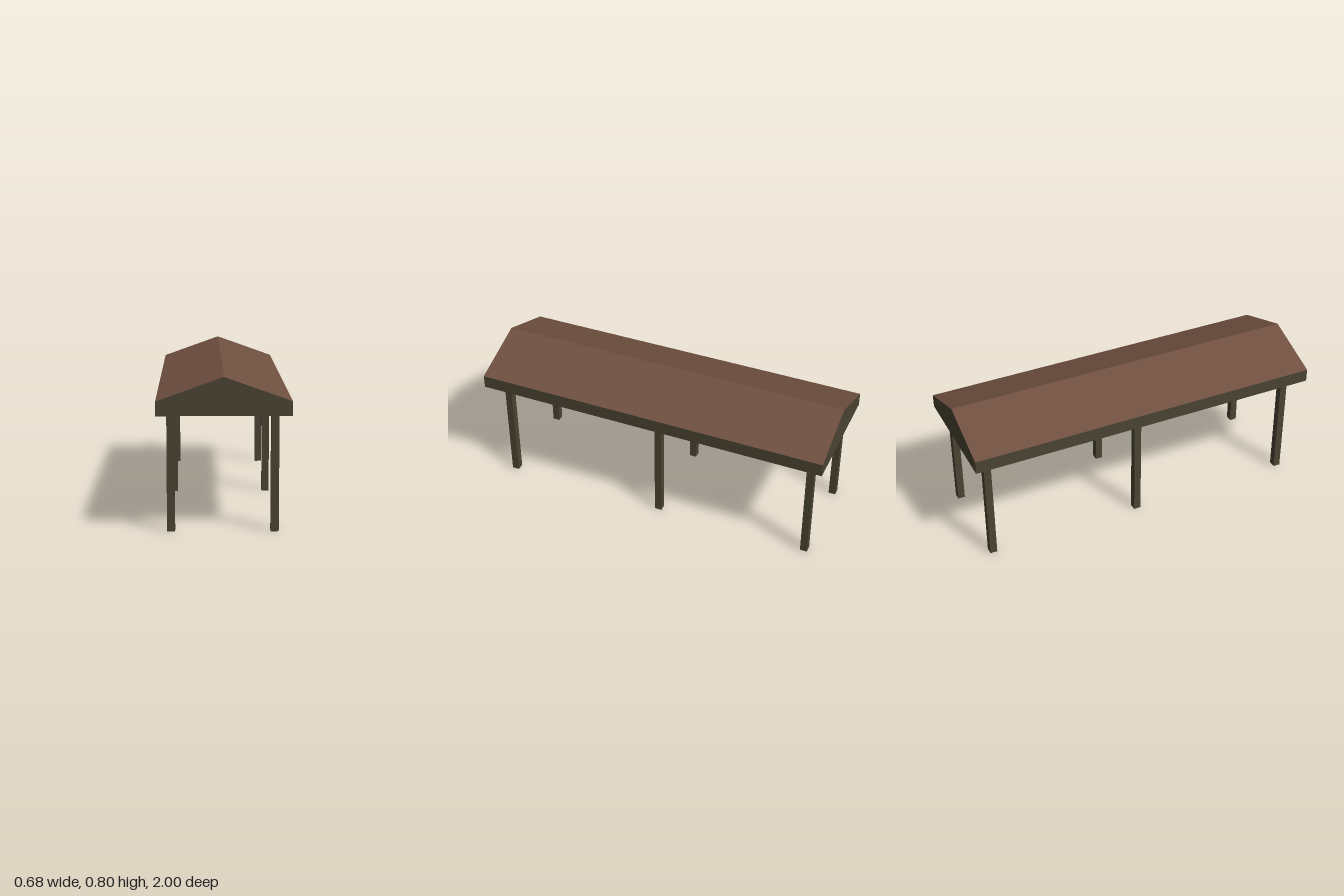
import * as THREE from 'three';

export function createModel() {
  const model = new THREE.Group();
  const timber = new THREE.MeshStandardMaterial({ color: 0x4a4433 });
  timber.name = 'dark timber';
  const roofing = new THREE.MeshStandardMaterial({ color: 0x6f5040 });
  roofing.name = 'brown roofing';

  const half = 0.338, eaveBottom = 0.608, eaveTop = 0.68, ridge = 0.801, length = 2;

  const add = (name, geometry, material, x, y, z) => {
    const mesh = new THREE.Mesh(geometry, material);
    mesh.name = name;
    mesh.position.set(x, y, z);
    model.add(mesh);
    return mesh;
  };

  // Solid roof body: gable ends, fascias and flat ceiling
  const gable = new THREE.Shape([
    new THREE.Vector2(-half, eaveBottom),
    new THREE.Vector2(half, eaveBottom),
    new THREE.Vector2(half, eaveTop),
    new THREE.Vector2(0, ridge),
    new THREE.Vector2(-half, eaveTop),
  ]);
  add('roofBody', new THREE.ExtrudeGeometry(gable, { depth: length, bevelEnabled: false }),
    timber, 0, 0, -length / 2);

  // Brown covering, one sheet on each slope
  const rise = ridge - eaveTop;
  const pitch = Math.atan2(rise, half);
  for (const side of [-1, 1]) {
    const sheet = new THREE.PlaneGeometry(Math.hypot(half, rise), length).rotateX(-Math.PI / 2);
    const slope = add(side > 0 ? 'leftRoofSheet' : 'rightRoofSheet', sheet, roofing,
      side * half / 2, (eaveTop + ridge) / 2 + 0.0015, 0);
    slope.rotation.z = -side * pitch;
  }

  // Three pairs of square posts
  const rows = { front: 0.885, middle: -0.045, back: -0.922 };
  for (const [row, z] of Object.entries(rows)) {
    for (const [side, x] of [['Right', -0.266], ['Left', 0.259]]) {
      add(row + side + 'Post', new THREE.BoxGeometry(0.041, eaveBottom, 0.04),
        timber, x, eaveBottom / 2, z);
    }
  }
  return model;
}
